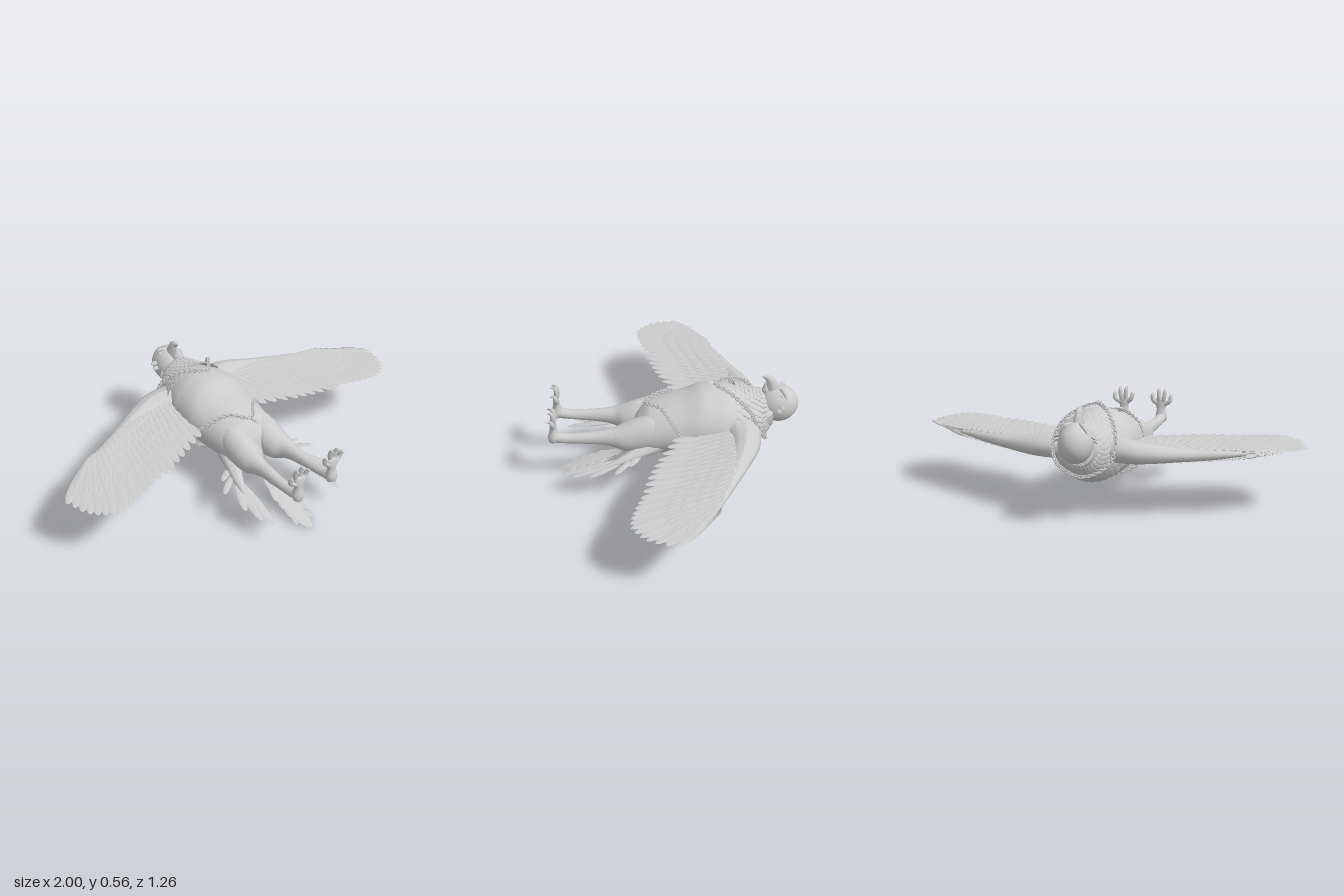
import * as THREE from 'three';
import { mergeGeometries } from 'three/addons/utils/BufferGeometryUtils.js';

const V = (x, y, z) => new THREE.Vector3(x, y, z);
const path = (pts, closed = false) => new THREE.CatmullRomCurve3(pts.map(p => V(...p)), closed);

// Smooth sections [z, cx, cy, rx, ry]; returns a point on the skin at t (0..1), angle a
function skin(sections) {
  const mid = path(sections.map(s => [s[1], s[2], s[0]]));
  const rad = path(sections.map(s => [s[3], s[4], 0]));
  return (t, a) => {
    const c = mid.getPoint(t), r = rad.getPoint(t);
    return V(c.x + Math.cos(a) * Math.max(r.x, 0.0005), c.y + Math.sin(a) * Math.max(r.y, 0.0005), c.z);
  };
}

function loft(sections, rings = 36, n = 28) {
  const f = skin(sections), pos = [], idx = [];
  for (let i = 0; i <= rings; i++) for (let j = 0; j < n; j++) {
    pos.push(...f(i / rings, j / n * Math.PI * 2).toArray());
    if (i === rings) continue;
    const a = i * n + j, b = i * n + (j + 1) % n;
    idx.push(a, b, b + n, a, b + n, a + n);
  }
  const g = new THREE.BufferGeometry();
  g.setAttribute('position', new THREE.Float32BufferAttribute(pos, 3));
  g.setIndex(idx);
  g.computeVertexNormals();
  return g;
}

// Tube whose radius follows a list, optionally flattened in x or y
function taper(pts, radii, sx = 1, sy = 1, n = 16, m = 10) {
  const curve = path(pts), g = new THREE.TubeGeometry(curve, n, 1, m), p = g.attributes.position;
  for (let k = 0; k < p.count; k++) {
    const t = Math.floor(k / (m + 1)) / n, c = curve.getPointAt(t);
    const u = t * (radii.length - 1), i = Math.min(Math.floor(u), radii.length - 2);
    const r = THREE.MathUtils.lerp(radii[i], radii[i + 1], u - i);
    p.setXYZ(k, c.x + (p.getX(k) - c.x) * r * sx, c.y + (p.getY(k) - c.y) * r * sy, c.z + (p.getZ(k) - c.z) * r);
  }
  g.computeVertexNormals();
  return g;
}

// Thin leaf-like feather from root to tip, widest past the middle
function feather(root, tip, width, up = V(0, 1, 0), thick = 0.008) {
  const g = new THREE.SphereGeometry(0.5, 8, 8).rotateX(Math.PI / 2), p = g.attributes.position;
  for (let i = 0; i < p.count; i++) p.setZ(i, Math.pow(Math.max(p.getZ(i) + 0.5, 0), 0.8));
  g.computeVertexNormals();
  const d = tip.clone().sub(root), len = d.length(), z = d.normalize();
  const x = up.clone().cross(z).normalize(), y = z.clone().cross(x);
  g.scale(width, thick, len);
  return g.applyMatrix4(new THREE.Matrix4().makeBasis(x, y, z).setPosition(root));
}

// Interlocking links along a closed loop
function chain(pts) {
  const curve = path(pts, true), n = Math.round(curve.getLength() / 0.015), out = [];
  for (let i = 0; i < n; i++) {
    const g = new THREE.TorusGeometry(0.0085, 0.0035, 6, 10).scale(1.25, 1, 1).rotateX(i % 2 ? 0.8 : -0.8);
    const q = new THREE.Quaternion().setFromUnitVectors(V(1, 0, 0), curve.getTangentAt(i / n));
    const c = curve.getPointAt(i / n);
    out.push(g.applyQuaternion(q).translate(c.x, c.y, c.z));
  }
  return mergeGeometries(out);
}

export function createModel() {
  const model = new THREE.Group();
  const grey = new THREE.MeshStandardMaterial({ color: 0xcccccc });
  grey.name = 'light grey';
  const add = (name, g) => {
    const m = new THREE.Mesh(g, grey);
    m.name = name;
    model.add(m);
    return m;
  };

  // Torso, lying on its back with the head at -z
  const torso = [
    [-0.5, 0, 0.37, 0.075, 0.085], [-0.45, 0, 0.35, 0.095, 0.11], [-0.4, 0, 0.335, 0.125, 0.125],
    [-0.33, 0, 0.325, 0.165, 0.15], [-0.25, 0, 0.325, 0.19, 0.17], [-0.15, 0, 0.325, 0.195, 0.17],
    [-0.05, 0, 0.305, 0.187, 0.152], [0.05, 0, 0.29, 0.172, 0.14], [0.13, 0, 0.275, 0.16, 0.125],
    [0.19, 0, 0.25, 0.1, 0.085], [0.22, 0, 0.24, 0, 0]];
  add('torso', loft(torso, 60, 40));

  // Neck ruff: overlapping rows of feathers
  const surf = skin(torso), ruff = [];
  for (let row = 0; row < 7; row++) for (let j = 0; j < 30; j++) {
    const a = (j + (row % 2) / 2) / 30 * Math.PI * 2;
    const t = (0.6 + row * 0.31 - 0.55 * Math.max(0, -Math.sin(a))) / (torso.length - 1);
    const p = surf(t, a), n = V(Math.cos(a), Math.sin(a), 0);
    const q = surf(t + 0.085, a).addScaledVector(n, 0.018);
    ruff.push(feather(p, q, 0.035 + row * 0.003, n, 0.01));
  }
  add('neckRuff', mergeGeometries(ruff));

  // Head and beak
  add('head', new THREE.SphereGeometry(1, 32, 24).scale(0.083, 0.097, 0.1).translate(0, 0.405, -0.53));
  add('upperBeak', taper([[0, 0.45, -0.505], [0, 0.515, -0.492], [0, 0.545, -0.478], [0, 0.562, -0.44]],
    [0.044, 0.034, 0.024, 0.001], 0.7));
  add('lowerBeak', taper([[0, 0.45, -0.475], [0, 0.49, -0.465], [0, 0.53, -0.46]], [0.03, 0.022, 0.001], 0.8));

  // Necklace, belt and their pendants
  const loop = half => [...half, ...half.slice(1, -1).reverse().map(([x, y, z]) => [-x, y, z])];
  add('necklace', chain(loop([[0, 0.525, -0.21], [0.07, 0.51, -0.28], [0.135, 0.45, -0.37],
    [0.155, 0.36, -0.42], [0.125, 0.28, -0.455], [0, 0.225, -0.47]])));
  add('belt', chain(loop([[0, 0.42, 0.14], [0.08, 0.425, 0.06], [0.15, 0.385, 0.01], [0.192, 0.31, -0.05],
    [0.165, 0.2, -0.09], [0.08, 0.152, -0.11], [0, 0.144, -0.11]])));
  for (const [y, z] of [[0.53, -0.18], [0.416, 0.18]]) {
    add('pendant', new THREE.OctahedronGeometry(1).scale(0.016, 0.008, 0.03).translate(0, y, z));
    add('pendantBead', new THREE.SphereGeometry(0.007, 10, 8).translate(0, y, z - 0.03));
  }

  // Centre tail
  add('tailBase', taper([[0, 0.2, 0.1], [0, 0.165, 0.18], [0, 0.12, 0.27], [0, 0.09, 0.33]],
    [0.06, 0.045, 0.02, 0.012], 1, 0.7));
  const tail = [feather(V(0, 0.13, 0.22), V(0, 0.004, 0.595), 0.095)];
  for (const s of [-1, 1]) for (let i = 0; i < 4; i++) {
    const z = 0.28 + i * 0.05, y = 0.105 - i * 0.017;
    tail.push(feather(V(0, y, z), V(s * 0.052, y - 0.035, z + 0.12), 0.035));
  }
  add('tailFeathers', mergeGeometries(tail));

  for (const s of [1, -1]) {
    const side = s > 0 ? 'left' : 'right';
    const sx = pts => pts.map(([x, y, z]) => [s * x, y, z]);

    // Face: eye, brow and cheek tufts
    add(side + 'Eye', new THREE.SphereGeometry(0.013, 14, 10).translate(s * 0.046, 0.474, -0.54));
    add(side + 'Brow', taper(sx([[0.014, 0.495, -0.525], [0.04, 0.492, -0.55], [0.07, 0.46, -0.565]]),
      [0.006, 0.012, 0.002]));
    const tufts = [];
    for (let i = 0; i < 6; i++) {
      const z = -0.53 + i * 0.016, y = 0.44 - i * 0.02;
      tufts.push(feather(V(s * 0.07, y, z), V(s * 0.105, y - 0.01, z + (i < 2 ? -0.015 : 0.035)), 0.026, V(s, 0.4, 0)));
    }
    add(side + 'CheekTufts', mergeGeometries(tufts));

    // Thigh and shank in one skin, then upturned foot
    add(side + 'Leg', loft([[0, 0.08, 0.3, 0.03, 0.04], [0.05, 0.08, 0.3, 0.065, 0.08], [0.12, 0.085, 0.29, 0.077, 0.095],
      [0.2, 0.085, 0.273, 0.077, 0.088], [0.26, 0.09, 0.265, 0.066, 0.07], [0.3, 0.098, 0.268, 0.045, 0.052],
      [0.35, 0.1, 0.27, 0.034, 0.04], [0.45, 0.105, 0.27, 0.028, 0.03], [0.53, 0.108, 0.272, 0.027, 0.026],
      [0.59, 0.11, 0.28, 0.028, 0.028], [0.62, 0.11, 0.285, 0, 0]].map(v => [v[0], s * v[1], ...v.slice(2)])));
    add(side + 'Foot', loft([[0.25, 0.11, -0.605, 0, 0], [0.26, 0.11, -0.605, 0.026, 0.022], [0.285, 0.11, -0.602, 0.032, 0.028],
      [0.33, 0.108, -0.602, 0.024, 0.018], [0.36, 0.107, -0.603, 0.031, 0.016], [0.385, 0.107, -0.603, 0.028, 0.012],
      [0.395, 0.107, -0.603, 0, 0]].map(v => [v[0], s * v[1], ...v.slice(2)])).rotateX(-Math.PI / 2));
    const toes = [[-0.045, 0.415], [-0.012, 0.445], [0.02, 0.44], [0.05, 0.41]].map(([dx, y]) => {
      const x = 0.108 + dx;
      return taper(sx([[0.108 + dx * 0.4, 0.355, 0.603], [x, y - 0.035, 0.598], [x + dx * 0.1, y - 0.005, 0.607],
        [x + dx * 0.12, y - 0.008, 0.628]]), [0.013, 0.012, 0.011, 0.001]);
    });
    add(side + 'Toes', mergeGeometries(toes));

    // Side tail
    add(side + 'SideTailBase', taper(sx([[0.09, 0.24, 0.06], [0.135, 0.215, 0.15], [0.175, 0.19, 0.24], [0.21, 0.165, 0.34]]),
      [0.065, 0.045, 0.028, 0.01], 1, 0.7));
    const fan = [[0.17, 0.19, 0.22, 0.215, 0.12, 0.565, 0.05], [0.19, 0.18, 0.25, 0.25, 0.135, 0.51, 0.045],
      [0.19, 0.18, 0.25, 0.275, 0.15, 0.42, 0.04], [0.17, 0.19, 0.2, 0.3, 0.185, 0.29, 0.035],
      [0.15, 0.2, 0.16, 0.255, 0.2, 0.22, 0.035], [0.2, 0.165, 0.32, 0.185, 0.14, 0.45, 0.035]];
    add(side + 'SideTailFeathers', mergeGeometries(fan.map(f =>
      feather(V(s * f[0], f[1], f[2]), V(s * f[3], f[4], f[5]), f[6]))));

    // Wing arm along the leading edge
    add(side + 'WingArm', taper(sx([[0.1, 0.34, -0.33], [0.22, 0.335, -0.355], [0.4, 0.325, -0.315], [0.56, 0.322, -0.25], [0.74, 0.325, -0.19]]),
      [0.09, 0.07, 0.045, 0.035, 0.012], 1, 0.75, 30, 14));

    // Wing feathers: one long layer, then shorter coverts on both faces
    const lead = path(sx([[0.17, 0.33, -0.36], [0.28, 0.33, -0.36], [0.4, 0.325, -0.33], [0.5, 0.322, -0.29],
      [0.58, 0.322, -0.26], [0.65, 0.322, -0.23], [0.7, 0.323, -0.215], [0.73, 0.325, -0.205]]));
    const trail = path(sx([[0.22, 0.33, 0.01], [0.38, 0.33, 0.08], [0.52, 0.33, 0.13], [0.67, 0.33, 0.16],
      [0.78, 0.33, 0.195], [0.88, 0.33, 0.2], [0.96, 0.327, 0.13], [1, 0.325, 0]]));
    const layers = [[1, 22, 0.066, 0], [0.66, 24, 0.048, 0.012], [0.5, 26, 0.042, 0.022],
      [0.35, 28, 0.036, 0.03], [0.22, 30, 0.032, 0.036]];
    layers.forEach(([reach, count, width, lift], k) => {
      const out = [];
      for (const face of k ? [1, -1] : [1]) for (let i = 0; i < count; i++) {
        const t = i / (count - 1), a = lead.getPoint(t), b = trail.getPoint(t);
        const h = face * lift * (1 - 0.6 * t) * (face < 0 ? 1.3 : 1);
        const tip = a.clone().lerp(b, reach);
        a.y += h + (i % 2) * 0.003;
        tip.y += h * 0.8;
        out.push(feather(a, tip, width));
      }
      add(side + (k ? 'WingCoverts' + k : 'FlightFeathers'), mergeGeometries(out));
    });
  }
  return model;
}
